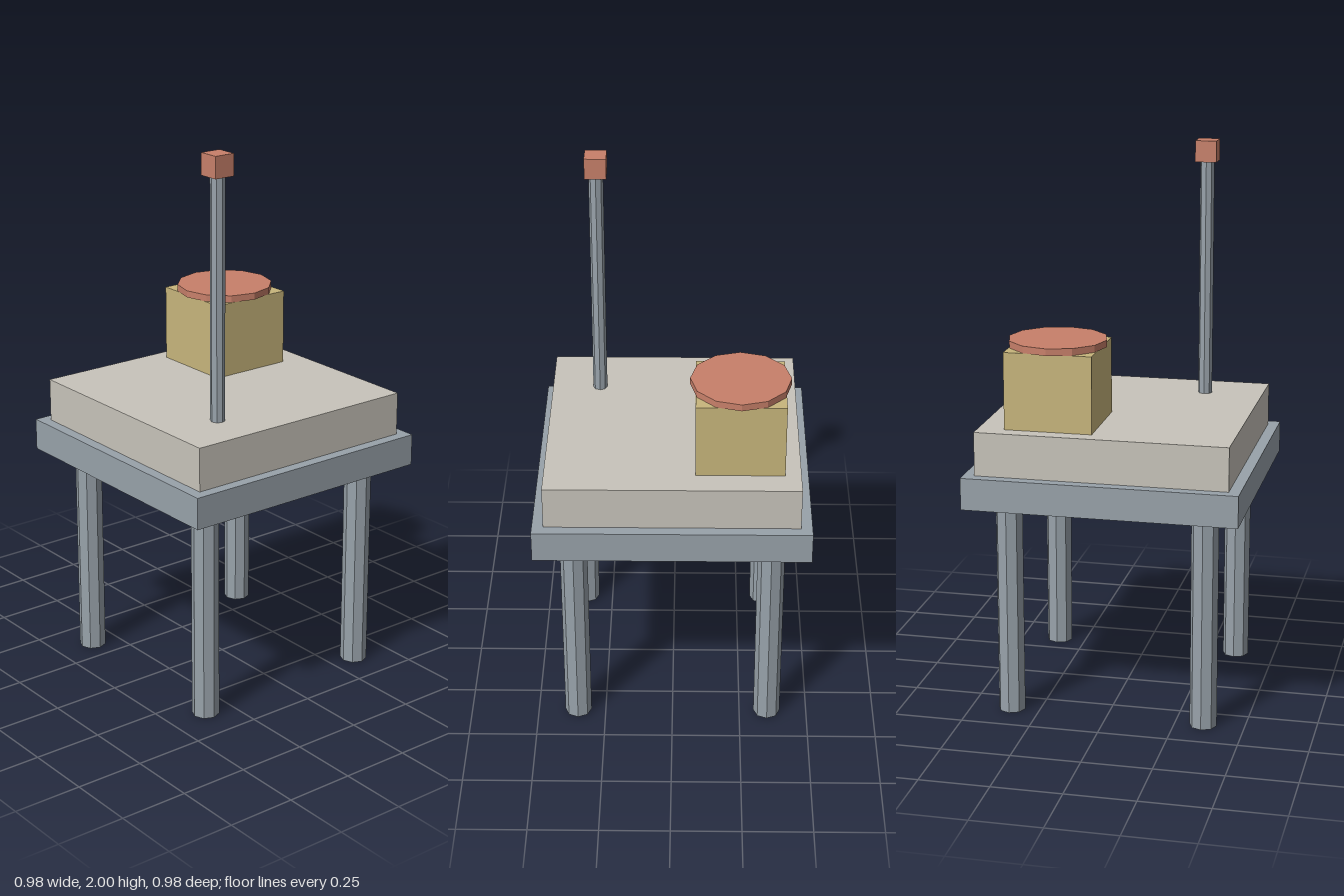
import * as THREE from 'three';

export function createModel() {
  const model = new THREE.Group();
  model.name = 'rooftopPlatform';

  const material = (name, color) => {
    const m = new THREE.MeshStandardMaterial({ color, flatShading: true });
    m.name = name;
    return m;
  };
  const steel = material('blueGreySteel', 0x98a2aa);
  const stone = material('paleStone', 0xc8c4bb);
  const ochre = material('ochre', 0xc8b67c);
  const terracotta = material('terracotta', 0xc8806a);

  // Adds a part whose underside sits at y
  const add = (name, geometry, mat, x, y, z, height) => {
    const mesh = new THREE.Mesh(geometry, mat);
    mesh.name = name;
    mesh.position.set(x, y + height / 2, z);
    model.add(mesh);
  };
  const box = (name, mat, width, height, x, y, z) =>
    add(name, new THREE.BoxGeometry(width, height, width), mat, x, y, z, height);
  const post = (name, mat, radius, height, sides, x, y, z) =>
    add(name, new THREE.CylinderGeometry(radius, radius, height, sides), mat, x, y, z, height);

  // Four octagonal legs
  for (const [side, sx] of [['Left', 1], ['Right', -1]]) {
    for (const [end, sz] of [['front', 1], ['back', -1]]) {
      post(`${end}${side}Leg`, steel, 0.049, 0.79, 8, sx * 0.352, 0, sz * 0.352);
    }
  }

  // Stepped platform
  box('platform', steel, 0.978, 0.115, 0, 0.788, 0);
  box('slab', stone, 0.898, 0.157, 0, 0.903, 0);

  // Box with a twelve-sided lid
  box('cabinet', ochre, 0.313, 0.276, -0.236, 1.06, -0.198);
  post('cabinetLid', terracotta, 0.176, 0.025, 12, -0.236, 1.336, -0.198);

  // Mast with a cube at the top
  post('mast', steel, 0.026, 0.866, 8, 0.274, 1.06, 0.235);
  box('mastHead', terracotta, 0.077, 0.077, 0.274, 1.923, 0.235);

  return model;
}
